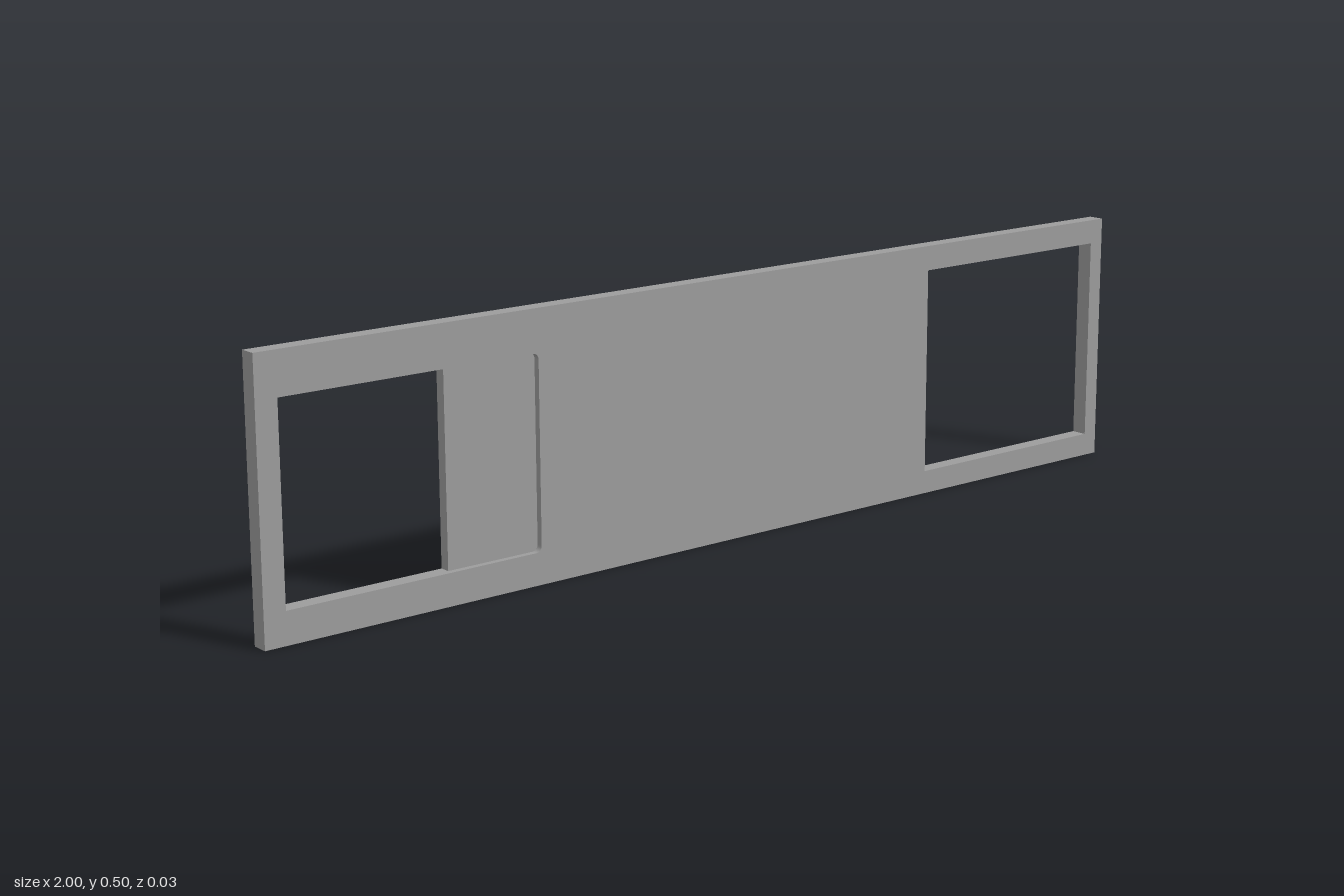
import * as THREE from 'three';

const HEIGHT = 0.496;
const HALF_DEPTH = 0.016;
const RECESS_DEPTH = 0.012;

// Rectangular outline; the right-hand corners can be rounded by r
function rect(path, x0, y0, x1, y1, r = 0) {
  path.moveTo(x0, y0);
  path.lineTo(x1 - r, y0);
  if (r) path.absarc(x1 - r, y0 + r, r, -Math.PI / 2, 0, false);
  else path.lineTo(x1, y0);
  path.lineTo(x1, y1 - r);
  if (r) path.absarc(x1 - r, y1 - r, r, 0, Math.PI / 2, false);
  path.lineTo(x0, y1);
  path.closePath();
  return path;
}

export function createModel() {
  const group = new THREE.Group();
  group.name = 'panel';
  const material = new THREE.MeshStandardMaterial({ color: 0x9c9c9c });

  // One layer of the panel, with the large window and a given small opening
  function layer(name, z0, z1, smallOpening) {
    const shape = rect(new THREE.Shape(), -1, 0, 1, HEIGHT);
    shape.holes.push(rect(new THREE.Path(), 0.5, 0.045, 0.968, 0.448), smallOpening);
    const geometry = new THREE.ExtrudeGeometry(shape, {
      depth: z1 - z0, bevelEnabled: false, curveSegments: 6,
    });
    geometry.translate(0, 0, z0);
    const mesh = new THREE.Mesh(geometry, material);
    mesh.name = name;
    group.add(mesh);
  }

  const step = HALF_DEPTH - RECESS_DEPTH;
  // Back layer: the small window cuts right through
  layer('backPanel', -HALF_DEPTH, step,
    rect(new THREE.Path(), -0.958, 0.06, -0.63, 0.417));
  // Front layer: the opening is wider, leaving a shallow recess beside the window
  layer('frontPanelWithRecess', step, HALF_DEPTH,
    rect(new THREE.Path(), -0.958, 0.06, -0.44, 0.417, 0.012));

  return group;
}
